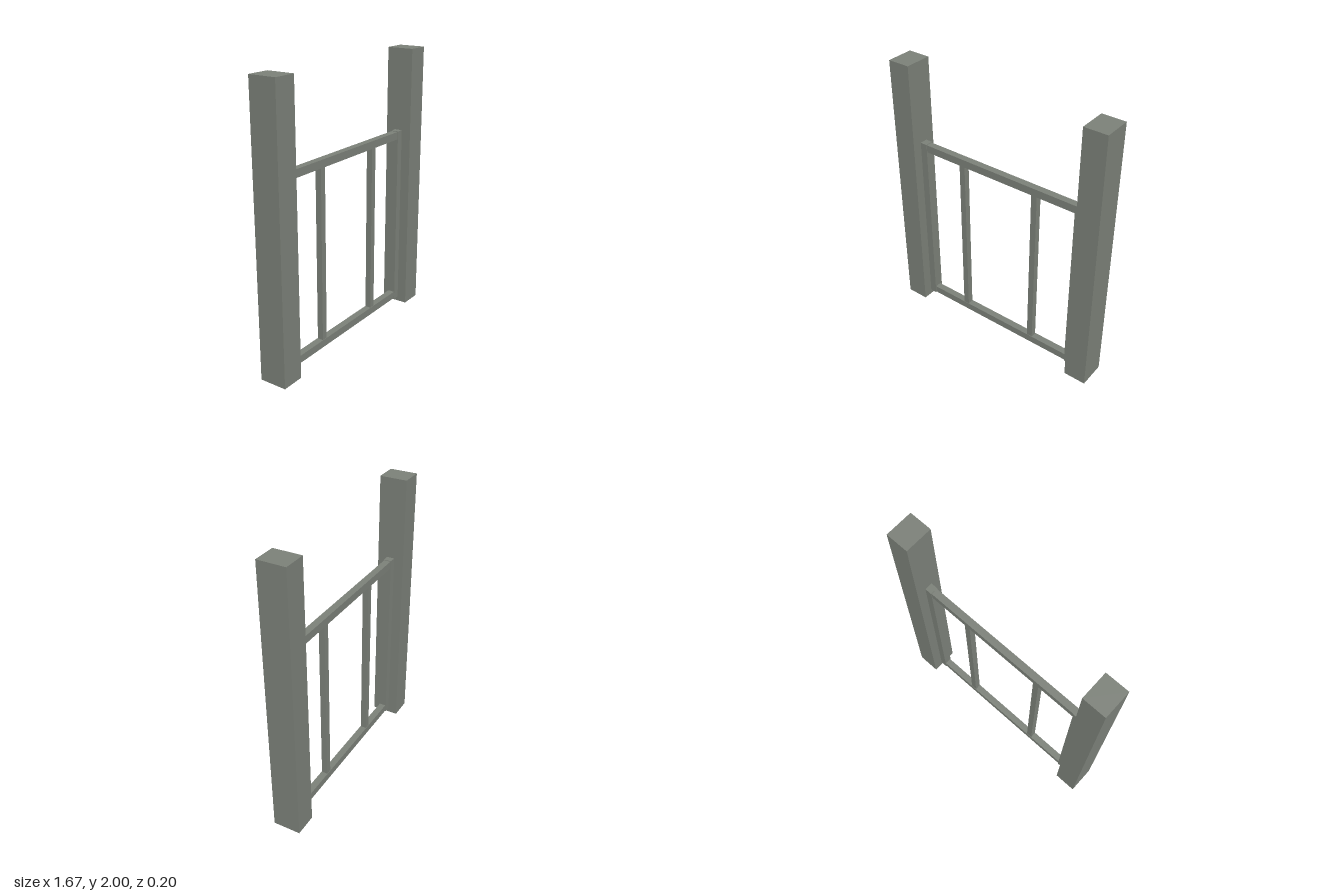
import * as THREE from 'three';

export function createModel() {
  const model = new THREE.Group();
  const paint = new THREE.MeshStandardMaterial({ color: 0x7c8179 });
  paint.name = 'grey green paint';

  // Box given by its centre x, its bottom and top, width and depth
  const addBar = (name, x, bottom, top, width, depth) => {
    const mesh = new THREE.Mesh(new THREE.BoxGeometry(width, top - bottom, depth), paint);
    mesh.name = name;
    mesh.position.set(x, (bottom + top) / 2, 0);
    model.add(mesh);
  };

  // Mirrored uprights: thick posts, gate frame sides and thin inner bars
  for (const [side, s] of [['left', 1], ['right', -1]]) {
    addBar(`${side}Post`, s * 0.75, 0, 2, 0.166, 0.2);
    addBar(`${side}FrameSide`, s * 0.641, 0.035, 1.4, 0.054, 0.058);
    addBar(`${side}InnerBar`, s * 0.3, 0.095, 1.34, 0.044, 0.044);
  }

  // Horizontal rails between the frame sides
  addBar('topRail', 0, 1.34, 1.396, 1.228, 0.05);
  addBar('bottomRail', 0, 0.04, 0.095, 1.228, 0.05);

  return model;
}
